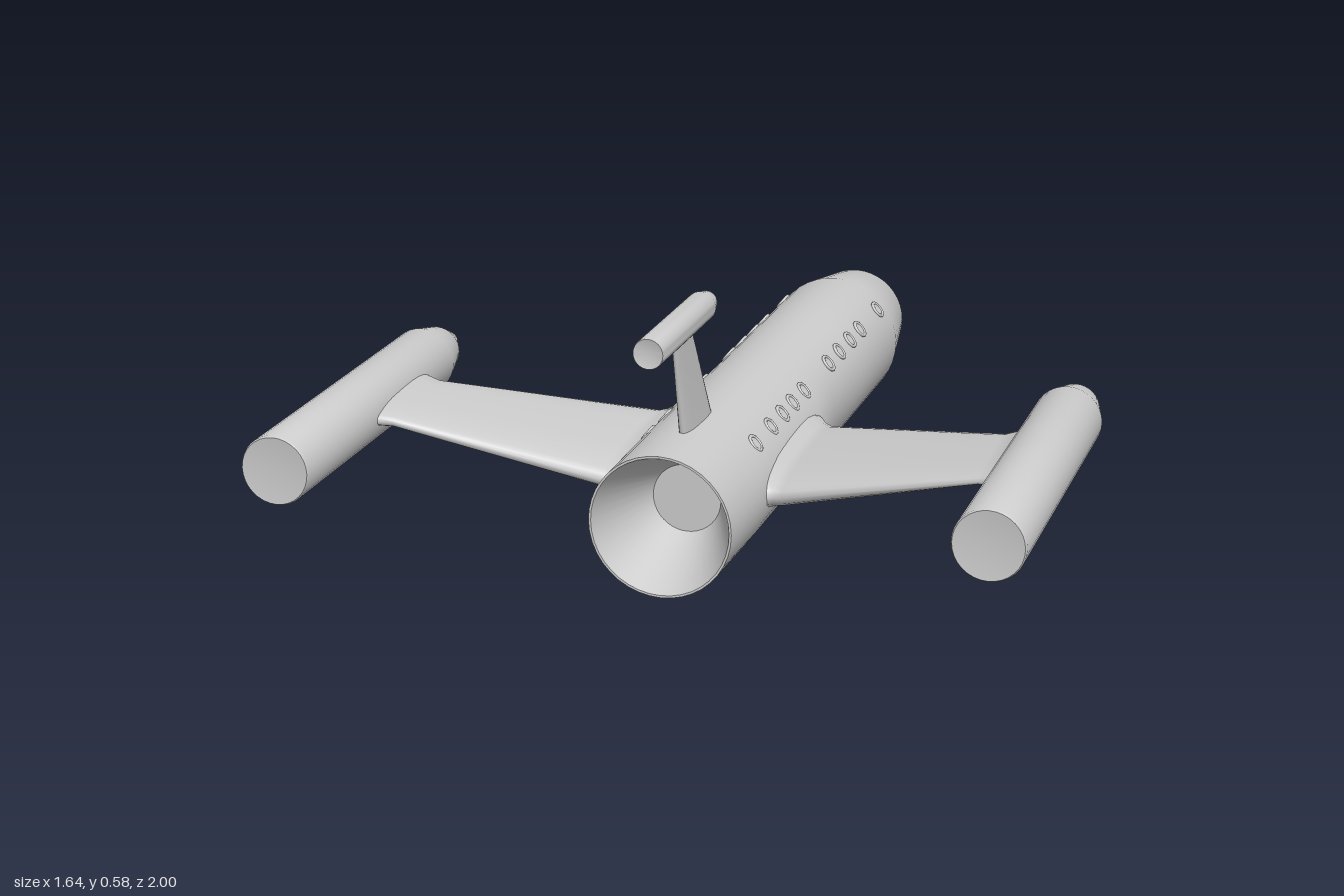
import * as THREE from 'three';
import { toCreasedNormals } from 'three/addons/utils/BufferGeometryUtils.js';

const grey = new THREE.MeshStandardMaterial({ color: 0xcccccc });

function addMesh(parent, name, geometry, x = 0, y = 0, z = 0) {
  const mesh = new THREE.Mesh(geometry, grey);
  mesh.name = name;
  mesh.position.set(x, y, z);
  parent.add(mesh);
  return mesh;
}

// Round body along z from a profile of [radius, z], tail at +z
function turned(profile, segments) {
  const points = profile.map(([r, z]) => new THREE.Vector2(r, z));
  return new THREE.LatheGeometry(points, segments).rotateX(Math.PI / 2);
}

// Wing skin through rounded sections [span, leading z, trailing z, centre y, half thickness]
function loft(sections, side = 1, n = 24) {
  const positions = [], indices = [];
  const soft = (v) => Math.sign(v) * Math.abs(v) ** 0.7;
  sections.forEach(([span, lead, trail, cy, t], i) => {
    for (let j = 0; j < n; j++) {
      const a = side * j / n * Math.PI * 2;
      const c = Math.cos(a);
      positions.push(side * span, cy + t * (1 - 0.2 * c) * soft(Math.sin(a)),
        (lead + trail) / 2 + (trail - lead) / 2 * soft(c));
      if (i === sections.length - 1) continue;
      const p = i * n + j, q = i * n + (j + 1) % n;
      indices.push(p, p + n, q, q, p + n, q + n);
    }
  });
  const geometry = new THREE.BufferGeometry();
  geometry.setAttribute('position', new THREE.Float32BufferAttribute(positions, 3));
  geometry.setIndex(indices);
  geometry.computeVertexNormals();
  return geometry;
}

// Engine pod with a blunt pointed nose and shallow dished rear
function pod(r, front, shoulder, back) {
  const d = shoulder - front;
  return toCreasedNormals(turned([
    [0, front], [r * 0.17, front + d * 0.02], [r * 0.32, front + d * 0.12], [r * 0.72, front + d * 0.5],
    [r, shoulder], [r, back - 0.005], [r * 0.96, back], [0, back - 0.008],
  ], 32), 0.6);
}

export function createModel() {
  const model = new THREE.Group();
  model.name = 'rocketPlane';
  const axisY = 0.155, radius = 0.155;

  // Fuselage with hollow exhaust, widened where the wings join
  const profile = [[0, -1], [0.028, -1], [0.034, -0.99], [0.12, -0.825], [radius, -0.62]];
  for (const z of [-0.3, -0.05, 0.02, 0.08, 0.3, 0.54, 0.65, 0.755]) profile.push([radius, z]);
  profile.push([0.15, 0.755], [0.075, 0.57], [0, 0.57]);
  const hull = turned(profile, 40);
  const pos = hull.attributes.position;
  for (let i = 0; i < pos.count; i++) {
    const x = pos.getX(i), y = pos.getY(i), z = pos.getZ(i);
    if (Math.hypot(x, y) < 0.153) continue;
    const along = THREE.MathUtils.smoothstep(z, -0.05, 0.08) * Math.min(1, Math.max(0, (0.755 - z) / 0.215));
    pos.setX(i, x + 0.012 * along * (x / radius) ** 5);
  }
  addMesh(model, 'fuselage', toCreasedNormals(hull, 0.6), 0, axisY);

  // Swept wings rising to the outer pods, flared at both ends
  const wing = [
    [0.13, 0.05, 0.555, 0.16, 0.06], [0.165, 0.075, 0.54, 0.16, 0.052], [0.18, 0.1, 0.537, 0.161, 0.046],
    [0.2, 0.12, 0.54, 0.163, 0.042], [0.64, 0.355, 0.635, 0.28, 0.02], [0.67, 0.352, 0.65, 0.286, 0.025],
    [0.69, 0.335, 0.665, 0.287, 0.04],
  ];
  for (const side of [1, -1]) {
    const label = side > 0 ? 'left' : 'right';
    addMesh(model, label + 'Wing', loft(wing, side));
    addMesh(model, label + 'Pod', pod(0.075, 0.045, 0.22, 1), side * 0.743, 0.287);
  }

  // Tail fin and its small pod
  const fin = loft([
    [0.27, 0.405, 0.6, 0, 0.022], [0.31, 0.43, 0.602, 0, 0.017],
    [0.5, 0.53, 0.65, 0, 0.009], [0.54, 0.54, 0.665, 0, 0.012],
  ]).rotateZ(Math.PI / 2);
  addMesh(model, 'tailFin', fin);
  addMesh(model, 'tailPod', pod(0.033, 0.385, 0.465, 0.815), 0, 0.547);

  // Round windows with raised rims along both upper flanks
  const windows = new THREE.Group();
  windows.name = 'windows';
  model.add(windows);
  const rim = new THREE.TorusGeometry(0.018, 0.004, 8, 20);
  const pane = new THREE.CylinderGeometry(0.018, 0.018, 0.006, 20).rotateX(Math.PI / 2);
  const tilt = 0.69;
  for (const z of [-0.57, -0.4, -0.31, -0.215, -0.12, 0.09, 0.18, 0.26, 0.35, 0.465]) {
    for (const side of [1, -1]) {
      const frame = new THREE.Group();
      frame.name = 'window';
      const out = new THREE.Vector3(side * Math.cos(tilt), Math.sin(tilt), 0);
      frame.position.set(out.x * 0.156, axisY + out.y * 0.156, z);
      frame.quaternion.setFromUnitVectors(new THREE.Vector3(0, 0, 1), out);
      addMesh(frame, 'windowRim', rim);
      addMesh(frame, 'windowPane', pane, 0, 0, -0.002);
      windows.add(frame);
    }
  }
  return model;
}
